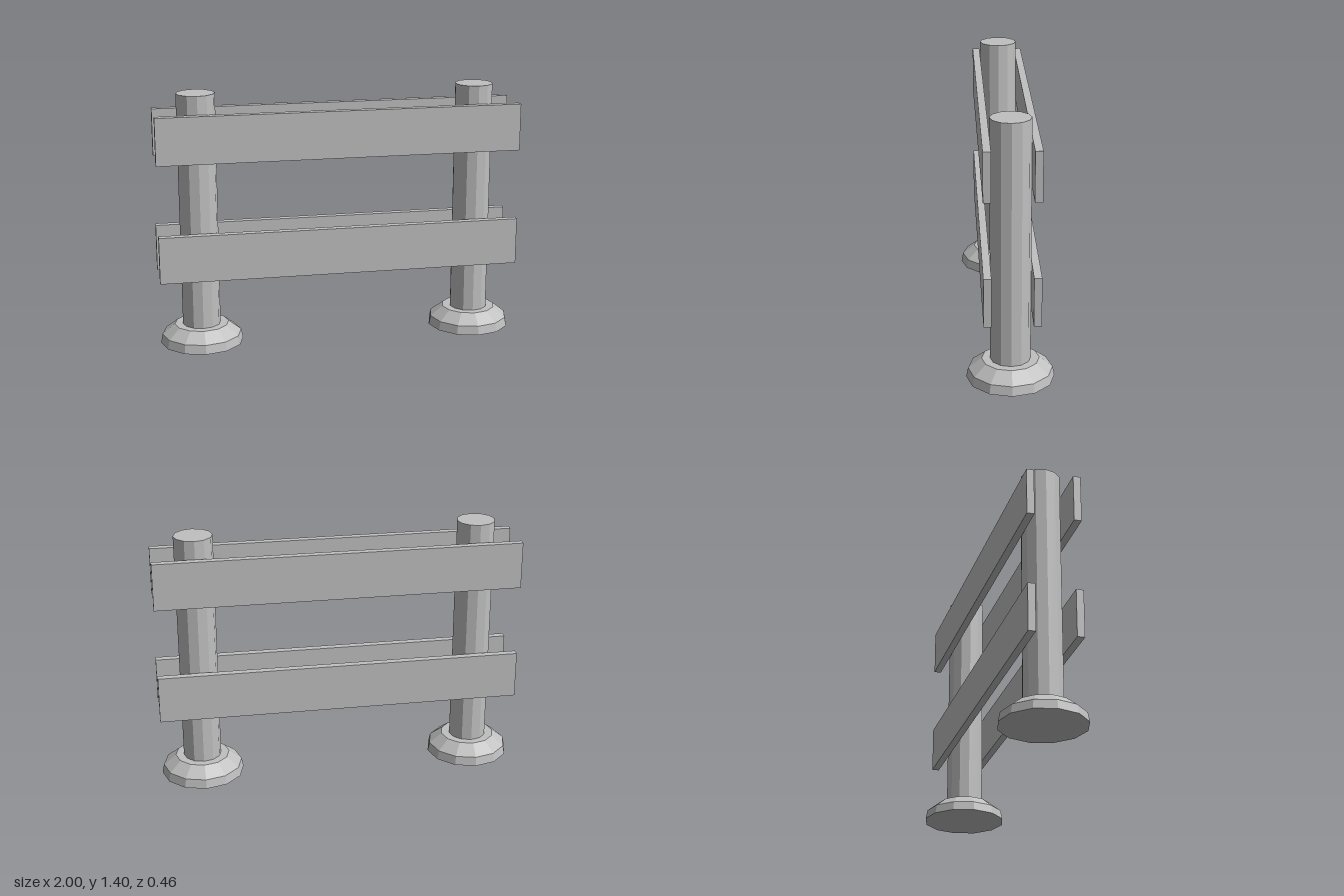
import * as THREE from 'three';

const SIDES = 12;
const POST_X = 0.77;
const POST_R = 0.105;

export function createModel() {
  const model = new THREE.Group();
  model.name = 'fence';
  const grey = new THREE.MeshStandardMaterial({ color: 0xc0c0c0 });
  grey.name = 'light grey';

  const add = (parent, name, geometry, x, y, z) => {
    // faceted normals
    const flat = geometry.toNonIndexed();
    flat.computeVertexNormals();
    const mesh = new THREE.Mesh(flat, grey);
    mesh.name = name;
    mesh.position.set(x, y, z);
    parent.add(mesh);
  };

  // Posts, each standing on a stepped foot
  const footProfile = [[0, 0], [0.23, 0], [0.22, 0.05], [0.15, 0.105], [0, 0.105]]
    .map(([r, y]) => new THREE.Vector2(r, y));
  for (const side of [1, -1]) {
    const support = new THREE.Group();
    support.name = side > 0 ? 'leftSupport' : 'rightSupport';
    support.position.x = side * POST_X;
    model.add(support);
    add(support, 'foot', new THREE.LatheGeometry(footProfile, SIDES), 0, 0, 0);
    add(support, 'post', new THREE.CylinderGeometry(POST_R, POST_R, 1.355, SIDES), 0, 0.7275, 0);
  }

  // Upper and lower rails on both faces of the posts
  for (const [level, y] of [['lower', 0.52], ['upper', 1.175]]) {
    for (const [face, z] of [['Front', 0.125], ['Back', -0.125]]) {
      add(model, `${level}${face}Rail`, new THREE.BoxGeometry(2, 0.26, 0.04), 0, y, z);
    }
  }
  return model;
}
